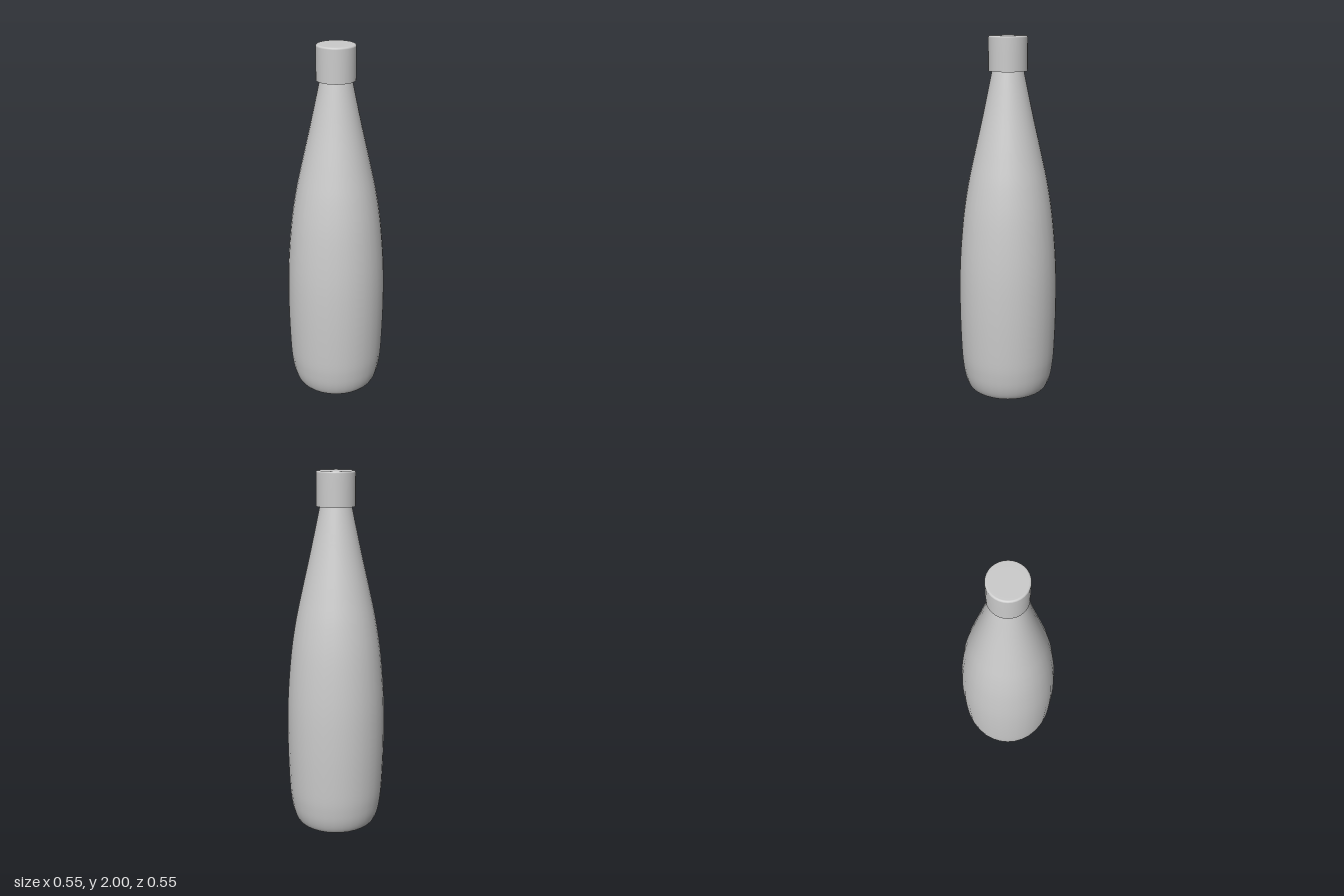
import * as THREE from 'three';

const SEGMENTS = 32;
const vectors = (pairs) => pairs.map(([r, y]) => new THREE.Vector2(r, y));

export function createModel() {
  const model = new THREE.Group();
  model.name = 'bottle';
  const material = new THREE.MeshStandardMaterial({ color: 0xcccccc });

  // Revolve a profile of [radius, height] points, listed from bottom to top
  const addLathe = (name, points) => {
    const mesh = new THREE.Mesh(new THREE.LatheGeometry(points, SEGMENTS), material);
    mesh.name = name;
    model.add(mesh);
  };

  // Body: rounded foot, gently swelling side, shoulder and straight tapering neck
  const side = new THREE.SplineCurve(vectors([
    [0.195, 0.005], [0.222, 0.022], [0.243, 0.07], [0.257, 0.14], [0.267, 0.25],
    [0.274, 0.5], [0.27, 0.75], [0.25, 1.0], [0.222, 1.19],
    [0.186, 1.36], [0.136, 1.58], [0.087, 1.81], [0.08, 1.84],
  ]));
  addLathe('body', side.getPoints(60));

  // Flat base, kept separate for a crisp edge
  addLathe('base', vectors([[0, 0], [0.17, 0], [0.195, 0.005]]));

  // Cap: straight wall with softly rounded top edge
  const capRadius = 0.105, bevel = 0.01;
  const wall = [[capRadius, 1.815], [capRadius, 1.9]];
  for (let i = 0; i <= 4; i++) {
    const a = (i / 4) * Math.PI / 2;
    wall.push([capRadius - bevel + bevel * Math.cos(a), 2 - bevel + bevel * Math.sin(a)]);
  }
  wall.push([0.06, 2], [0, 2]);
  addLathe('cap', vectors(wall));

  // Underside of the cap around the neck
  addLathe('capUnderside', vectors([[0.07, 1.815], [capRadius, 1.815]]));

  return model;
}
